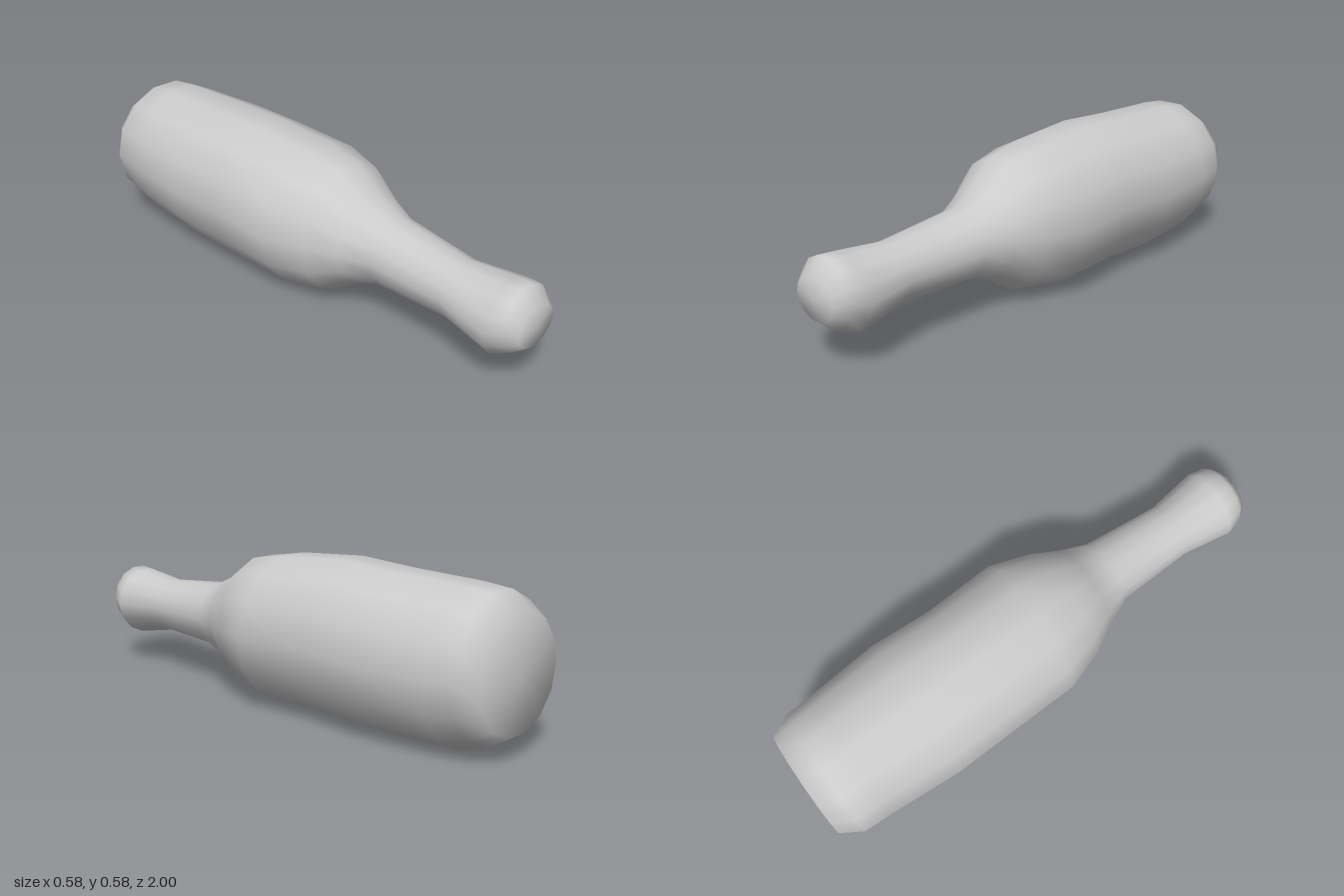
import * as THREE from 'three';

const SIDES = 14;

// Cross-sections from base to mouth: z, left x, right x, bottom y, top y
const SECTIONS = [
  [-0.99, -0.22, 0.20, 0.09, 0.50],
  [-0.91, -0.27, 0.24, 0.04, 0.555],
  [-0.80, -0.272, 0.25, 0.008, 0.567],
  [-0.52, -0.29, 0.28, 0.0, 0.576],
  [-0.28, -0.284, 0.265, 0.002, 0.59],
  [0.0, -0.275, 0.288, 0.008, 0.572],
  [0.16, -0.222, 0.235, 0.038, 0.545],
  [0.27, -0.16, 0.19, 0.115, 0.46],
  [0.38, -0.11, 0.153, 0.152, 0.41],
  [0.69, -0.095, 0.13, 0.165, 0.38],
  [0.89, -0.125, 0.163, 0.127, 0.402],
  [0.95, -0.108, 0.142, 0.16, 0.408],
  [0.995, -0.075, 0.11, 0.2, 0.35],
];

// Lofts elliptical rings along z and closes both ends, with shared smooth normals
function loft(sections, sides) {
  const pos = [], index = [];
  sections.forEach(([z, x0, x1, y0, y1]) => {
    for (let j = 0; j < sides; j++) {
      const a = (j / sides) * Math.PI * 2;
      pos.push((x0 + x1) / 2 + Math.cos(a) * (x1 - x0) / 2,
        (y0 + y1) / 2 + Math.sin(a) * (y1 - y0) / 2, z);
    }
  });
  const last = sections.length - 1;
  for (let i = 0; i < last; i++) {
    for (let j = 0; j < sides; j++) {
      const k = (j + 1) % sides;
      const a = i * sides + j, b = i * sides + k, c = b + sides, d = a + sides;
      index.push(a, b, c, a, c, d);
    }
  }
  // End caps
  for (const [ring, z] of [[0, -1], [last, 1]]) {
    const [, x0, x1, y0, y1] = sections[ring];
    const centre = pos.length / 3;
    pos.push((x0 + x1) / 2, (y0 + y1) / 2, z);
    for (let j = 0; j < sides; j++) {
      const a = ring * sides + j, b = ring * sides + (j + 1) % sides;
      if (ring === 0) index.push(centre, b, a);
      else index.push(centre, a, b);
    }
  }
  const geo = new THREE.BufferGeometry();
  geo.setAttribute('position', new THREE.Float32BufferAttribute(pos, 3));
  geo.setIndex(index);
  geo.computeVertexNormals();
  return geo;
}

export function createModel() {
  const group = new THREE.Group();
  group.name = 'bottle';
  // Body, shoulder, neck and mouth as one continuous skin
  const body = new THREE.Mesh(loft(SECTIONS, SIDES),
    new THREE.MeshStandardMaterial({ color: 0xcccccc }));
  body.name = 'bottleBody';
  group.add(body);
  return group;
}
